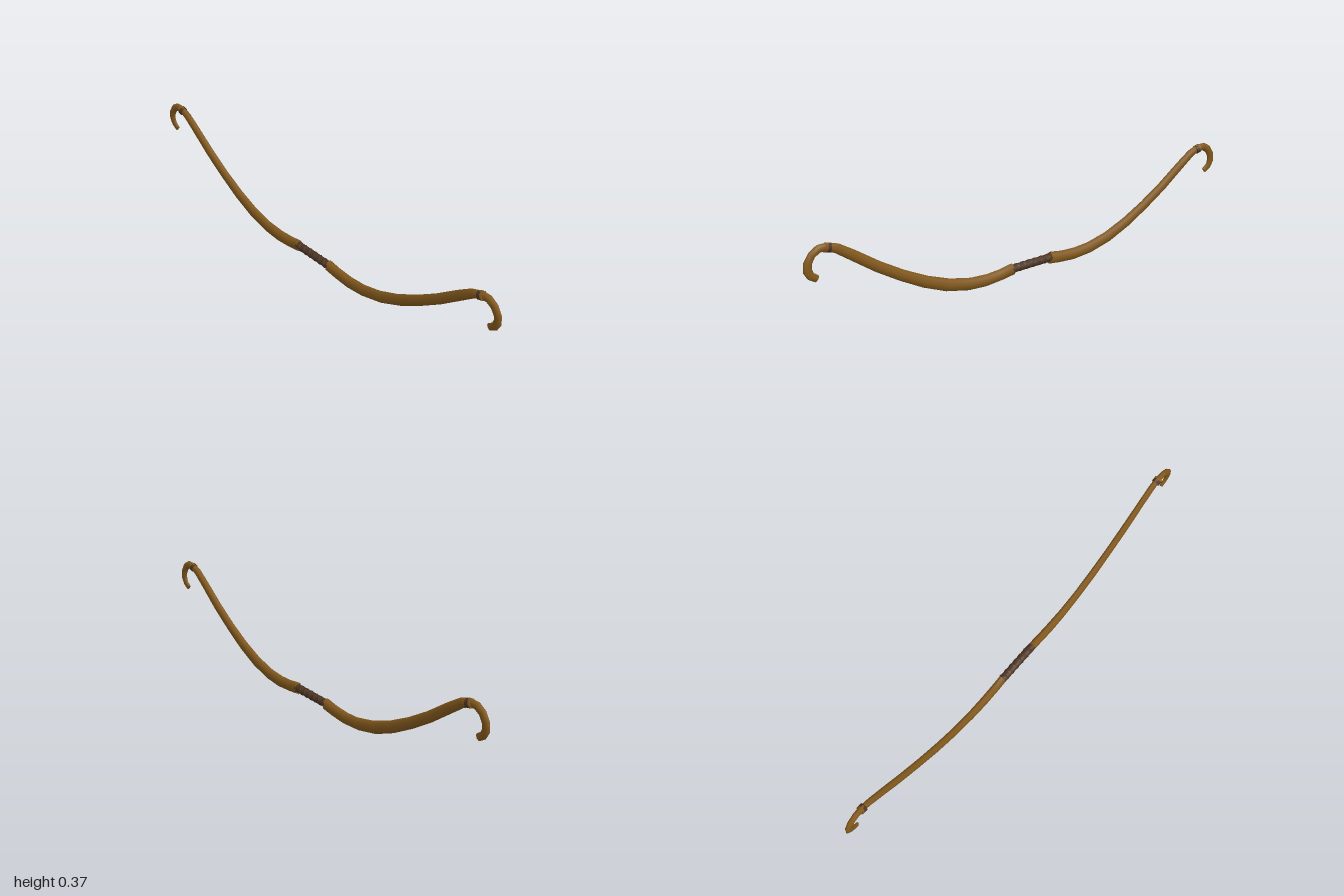
import * as THREE from 'three';

// Limb stations: z, y, half thickness, half width
const STATIONS = [
  [0.093, 0.042, 0.027, 0.017], [0.15, 0.033, 0.026, 0.017], [0.22, 0.028, 0.027, 0.017],
  [0.30, 0.034, 0.027, 0.016], [0.40, 0.059, 0.027, 0.015], [0.50, 0.102, 0.025, 0.015],
  [0.60, 0.158, 0.023, 0.014], [0.70, 0.223, 0.022, 0.014], [0.80, 0.298, 0.021, 0.013],
  [0.86, 0.341, 0.019, 0.013], [0.90, 0.358, 0.017, 0.012], [0.932, 0.358, 0.017, 0.012],
  [0.960, 0.341, 0.017, 0.011], [0.979, 0.310, 0.018, 0.010], [0.981, 0.282, 0.018, 0.009],
  [0.970, 0.259, 0.016, 0.008], [0.946, 0.242, 0.014, 0.007],
];
const SIDES = 8;

// Sweep an oval section along the limb, with capped ends
function limbGeometry() {
  const path = new THREE.CatmullRomCurve3(STATIONS.map(([z, y]) => new THREE.Vector3(0, y, z)));
  const steps = STATIONS.length - 1;
  const pos = [], index = [];
  for (let i = 0; i <= steps; i++) {
    const [z, y, thick, wide] = STATIONS[i];
    const d = path.getTangent(i / steps);
    for (let j = 0; j < SIDES; j++) {
      const a = (j / SIDES) * Math.PI * 2;
      const u = Math.sin(a) * thick;
      pos.push(Math.cos(a) * wide, y + d.z * u, z - d.y * u);
      if (i < steps) {
        const q = i * SIDES + j, r = i * SIDES + (j + 1) % SIDES;
        index.push(q, r, q + SIDES, r, r + SIDES, q + SIDES);
      }
    }
  }
  // Separate cap vertices keep the cut ends crisp
  for (const end of [0, steps]) {
    const base = pos.length / 3, from = end * SIDES * 3;
    pos.push(...pos.slice(from, from + SIDES * 3));
    for (let j = 1; j < SIDES - 1; j++) {
      if (end) index.push(base, base + j, base + j + 1);
      else index.push(base, base + j + 1, base + j);
    }
  }
  const g = new THREE.BufferGeometry();
  g.setAttribute('position', new THREE.Float32BufferAttribute(pos, 3));
  g.setIndex(index);
  g.computeVertexNormals();
  return g;
}

export function createModel() {
  const bow = new THREE.Group();
  bow.name = 'bow';
  const wood = new THREE.MeshStandardMaterial({ color: 0x83591d });
  wood.name = 'wood';
  const leather = new THREE.MeshStandardMaterial({ color: 0x4c3422 });
  leather.name = 'leather';
  const add = (parent, name, geometry, material) => {
    const m = new THREE.Mesh(geometry, material);
    m.name = name;
    parent.add(m);
    return m;
  };

  // Two matching limbs, each with a wooden nock ring and a leather binding before the hook
  const limb = limbGeometry();
  for (const [name, turn] of [['frontLimb', 0], ['backLimb', Math.PI]]) {
    const half = new THREE.Group();
    half.name = name;
    half.rotation.y = turn;
    add(half, 'limbBody', limb, wood);
    const bindings = [
      ['nockRing', wood, 0.905, 0.356, 0.008],
      ['nockBinding', leather, 0.894, 0.353, 0.015],
    ];
    for (const [label, material, z, y, length] of bindings) {
      const ring = add(half, label, new THREE.CylinderGeometry(0.0175, 0.0175, length, 8), material);
      ring.position.set(0, y, z);
      ring.rotation.x = Math.PI / 2 - 0.3;
      ring.scale.z = 1.08;
    }
    bow.add(half);
  }

  // Grip core with a broad, shallow spiral leather wrap
  const core = add(bow, 'gripCore', new THREE.CylinderGeometry(0.0168, 0.0168, 0.2, 12), leather);
  core.rotation.x = Math.PI / 2;
  core.position.y = 0.043;
  const turns = 6, points = [];
  for (let i = 0; i <= turns * 10; i++) {
    const a = (i / 10) * Math.PI * 2;
    points.push(new THREE.Vector3(
      Math.cos(a) * 0.006, 0.043 + Math.sin(a) * 0.006, -0.093 + (0.186 * i) / (turns * 10)));
  }
  const wrap = new THREE.TubeGeometry(new THREE.CatmullRomCurve3(points), turns * 16, 0.0128, 8);
  add(bow, 'gripWrap', wrap, leather);
  return bow;
}
